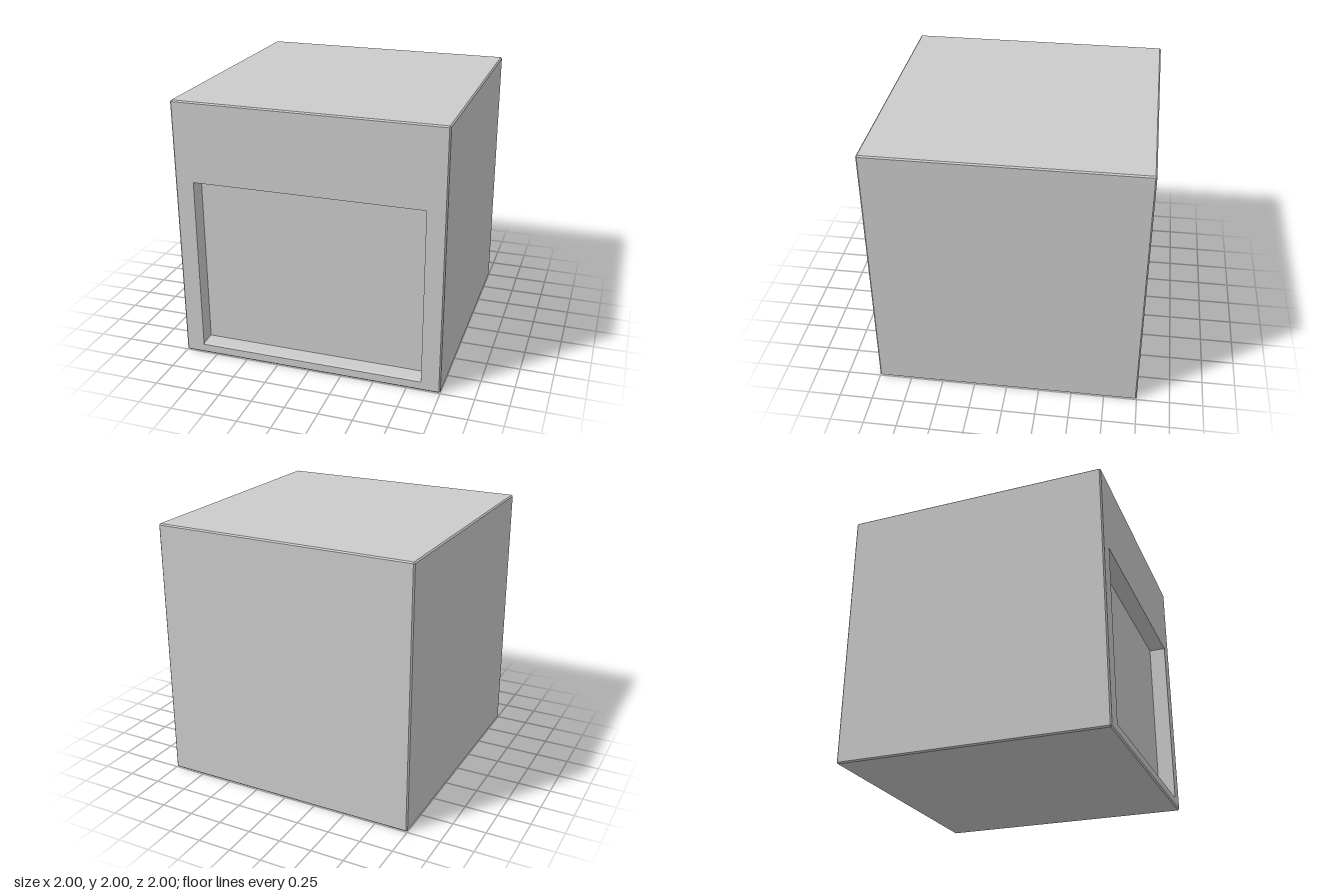
import * as THREE from 'three';

const BEVEL = 0.01;

// Eight-point rectangular ring, counter-clockwise from +z, corners cut by c
function ring(x, y0, y1, z, c = 0) {
  return [
    [x, y0 + c], [x, y1 - c], [x - c, y1], [-x + c, y1],
    [-x, y1 - c], [-x, y0 + c], [-x + c, y0], [x - c, y0],
  ].map(([px, py]) => new THREE.Vector3(px, py, z));
}

// Flat-shaded skin through a list of rings, with optional end caps
function loft(rings, capStart, capEnd) {
  const pos = [];
  const tri = (a, b, c) => {
    if (new THREE.Triangle(a, b, c).getArea() < 1e-9) return;
    for (const p of [a, b, c]) pos.push(p.x, p.y, p.z);
  };
  const each = (r, fn) => r.forEach((_, i) => fn(i, (i + 1) % r.length));
  for (let k = 0; k + 1 < rings.length; k++) {
    const a = rings[k], b = rings[k + 1];
    each(a, (i, j) => { tri(a[i], a[j], b[j]); tri(a[i], b[j], b[i]); });
  }
  const cap = (r, flip) => {
    const mid = r.reduce((s, p) => s.add(p), new THREE.Vector3()).divideScalar(r.length);
    each(r, (i, j) => (flip ? tri(mid, r[j], r[i]) : tri(mid, r[i], r[j])));
  };
  if (capStart) cap(rings[0], true);
  if (capEnd) cap(rings[rings.length - 1], false);
  const geo = new THREE.BufferGeometry();
  geo.setAttribute('position', new THREE.Float32BufferAttribute(pos, 3));
  geo.computeVertexNormals();
  return geo;
}

export function createModel() {
  const group = new THREE.Group();
  const material = new THREE.MeshStandardMaterial({ color: 0xcccccc, flatShading: true });
  const add = (name, geo) => {
    const mesh = new THREE.Mesh(geo, material);
    mesh.name = name;
    group.add(mesh);
  };

  const inner = 1 - BEVEL;
  const opening = ring(0.857, 0.068, 1.4, 1);

  // Bevelled cube with a rectangular opening in the front
  add('body', loft([
    ring(inner, BEVEL, 2 - BEVEL, -1),
    ring(1, 0, 2, -inner, BEVEL),
    ring(1, 0, 2, inner, BEVEL),
    ring(inner, BEVEL, 2 - BEVEL, 1),
    opening,
  ], true, false));

  // Shallow recess: sloped sill lip, straight walls and back panel
  add('frontRecess', loft([
    opening,
    ring(0.857, 0.08, 1.4, 0.985),
    ring(0.857, 0.08, 1.4, 0.874),
  ], false, true));

  return group;
}
